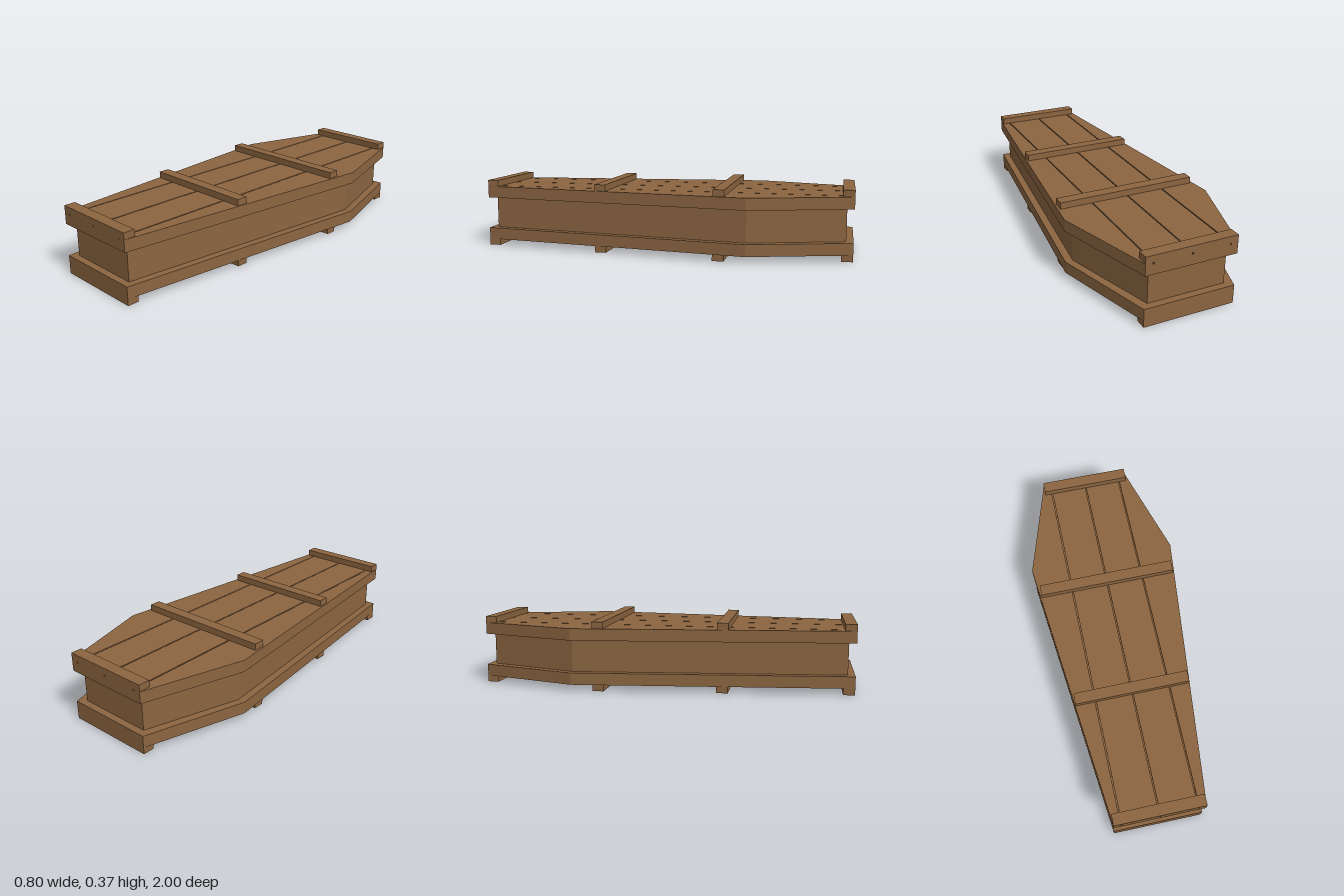
import * as THREE from 'three';

export function createModel() {
  const group = new THREE.Group();
  const wood = new THREE.MeshStandardMaterial({ color: 0x8b6540, flatShading: true });

  // Horizontal slab from an outline of [x, z] points between two heights
  function slab(name, points, y0, y1) {
    const shape = new THREE.Shape(points.map(([x, z]) => new THREE.Vector2(x, -z)));
    const geo = new THREE.ExtrudeGeometry(shape, { depth: y1 - y0, bevelEnabled: false });
    geo.rotateX(-Math.PI / 2);
    const mesh = new THREE.Mesh(geo, wood);
    mesh.position.y = y0;
    mesh.name = name;
    group.add(mesh);
  }

  // Six-sided outline: narrow ends, widest at the shoulders
  const outline = (end, shoulder, halfLength) => [
    [-end, halfLength], [end, halfLength], [shoulder, -0.47],
    [end, -halfLength], [-end, -halfLength], [-shoulder, -0.47],
  ];
  const rim = outline(0.24, 0.4, 1);

  slab('base', rim, 0.035, 0.098);
  slab('body', outline(0.205, 0.36, 0.963), 0.098, 0.27);
  slab('lid', rim, 0.27, 0.323);

  // Four lid planks with narrow grooves between them
  const gap = 0.003;
  for (const s of [-1, 1]) {
    const inner = [[gap, 1], [0.2 - gap, 1], [0.2 - gap, -1], [gap, -1]];
    const outer = [[0.2 + gap, 1], [0.24, 1], [0.4, -0.47], [0.24, -1], [0.2 + gap, -1]];
    slab('innerPlank', inner.map(([x, z]) => [s * x, z]), 0.323, 0.333);
    slab('outerPlank', outer.map(([x, z]) => [s * x, z]), 0.323, 0.333);
  }

  // Cross battens above the lid and below the base: [z centre, half width]
  for (const [z, halfWidth] of [[-0.97, 0.24], [-0.328, 0.373], [0.321, 0.307], [0.97, 0.24]]) {
    for (const [name, y] of [['lidBatten', 0.35], ['baseBatten', 0.0175]]) {
      const batten = new THREE.Mesh(new THREE.BoxGeometry(halfWidth * 2, 0.035, 0.06), wood);
      batten.position.set(0, y, z);
      batten.name = name;
      group.add(batten);
    }
  }
  return group;
}
